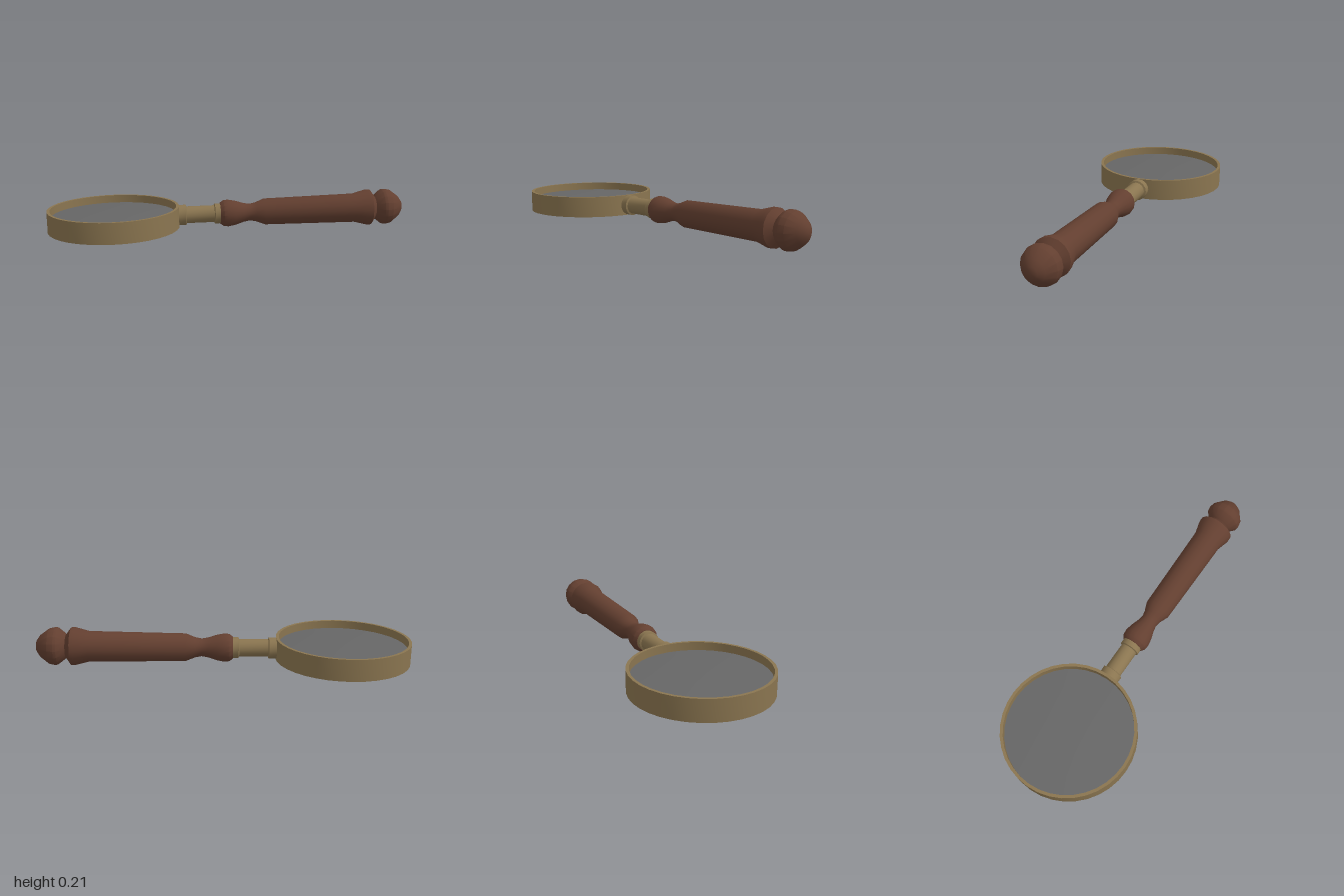
import * as THREE from 'three';
import { toCreasedNormals } from 'three/addons/utils/BufferGeometryUtils.js';

const paint = (name, color) => {
  const m = new THREE.MeshStandardMaterial({ color });
  m.name = name;
  return m;
};

// Turned part from [radius, position] pairs, edges kept crisp above the crease angle
function turned(name, profile, sides, material, crease = 0.55) {
  const points = profile.map(([r, y]) => new THREE.Vector2(r, y));
  const mesh = new THREE.Mesh(toCreasedNormals(new THREE.LatheGeometry(points, sides), crease), material);
  mesh.name = name;
  return mesh;
}

export function createModel() {
  const brass = paint('aged brass', 0x8a7550);
  const wood = paint('dark wood', 0x633f30);
  const glass = paint('grey glass', 0x666666);

  const model = new THREE.Group();
  model.name = 'magnifyingGlass';

  // Everything is built around the lens centre, with the handle along +x
  const body = new THREE.Group();
  body.name = 'body';
  body.position.set(-0.635, 0.08, 0);
  body.rotation.set(0, THREE.MathUtils.degToRad(9.6), 0.016, 'YXZ');
  model.add(body);

  // Hollow rim
  const h = 0.058, outer = 0.365, inner = 0.349;
  body.add(turned('rim', [[outer, -h], [outer, h], [inner, h], [inner, -h], [outer, -h]], 36, brass));

  // Shallow biconvex lens
  body.add(turned('lens', [
    [0, -0.028], [0.13, -0.026], [0.25, -0.021], [0.352, -0.014],
    [0.352, 0.014], [0.25, 0.021], [0.13, 0.026], [0, 0.028],
  ], 36, glass));

  // Handle parts share one axis
  const handle = new THREE.Group();
  handle.name = 'handle';
  handle.rotation.z = -Math.PI / 2;
  body.add(handle);

  // Ferrule with a collar at each end
  handle.add(turned('ferrule', [
    [0, 0.355], [0.057, 0.355], [0.058, 0.402], [0.048, 0.406],
    [0.048, 0.562], [0.057, 0.566], [0.057, 0.598], [0, 0.602],
  ], 16, brass));

  // Turned wooden grip: bulb, neck, long barrel and flared bead
  handle.add(turned('grip', [
    [0, 0.594], [0.06, 0.596], [0.074, 0.615], [0.077, 0.64], [0.07, 0.68],
    [0.054, 0.73], [0.048, 0.765], [0.055, 0.8], [0.075, 0.85],
    [0.083, 1.37], [0.103, 1.445], [0.102, 1.465], [0.062, 1.494], [0, 1.494],
  ], 16, wood));

  // End knob
  handle.add(turned('knob', [
    [0.062, 1.492], [0.074, 1.502], [0.1, 1.535], [0.103, 1.55], [0.096, 1.582],
    [0.06, 1.63], [0.03, 1.65], [0, 1.656],
  ], 16, wood));

  return model;
}
